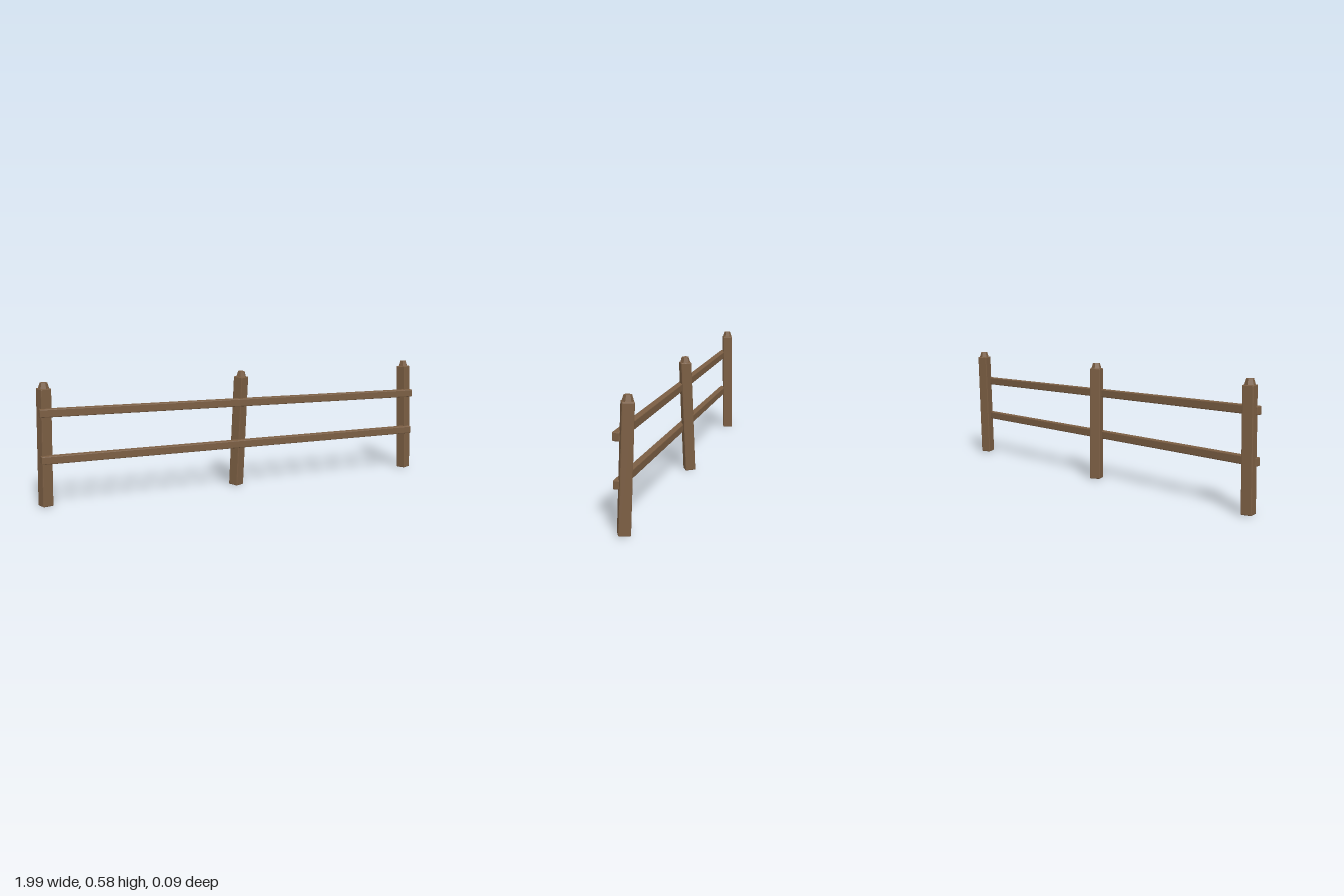
import * as THREE from 'three';
import { RoundedBoxGeometry } from 'three/addons/geometries/RoundedBoxGeometry.js';

// Box with chamfered edges and flat faces
function chamferedBox(w, h, d, bevel) {
  const geometry = new RoundedBoxGeometry(w, h, d, 1, bevel);
  geometry.computeVertexNormals();
  return geometry;
}

function addMesh(parent, geometry, material, name) {
  const mesh = new THREE.Mesh(geometry, material);
  mesh.name = name;
  parent.add(mesh);
  return mesh;
}

export function createModel() {
  const model = new THREE.Group();
  model.name = 'fence';

  const wood = new THREE.MeshStandardMaterial({ color: 0x7b5e43 });
  wood.name = 'brown wood';

  // Posts: each leans from its bottom centre to its top centre and is twisted about its length
  const postHeight = 0.548;
  const postGeometry = chamferedBox(0.052, postHeight, 0.052, 0.004);
  const capGeometry = new THREE.CylinderGeometry(0.017, 0.026, 0.03, 6).toNonIndexed();
  capGeometry.computeVertexNormals();

  const posts = [
    { name: 'rightPost', bottom: [-0.967, 0], top: [-0.955, 0.004], twist: 0.3 },
    { name: 'middlePost', bottom: [-0.012, -0.009], top: [0.008, 0.008], twist: 0.5 },
    { name: 'leftPost', bottom: [0.963, 0.01], top: [0.953, -0.011], twist: 0.44 },
  ];
  for (const { name, bottom, top, twist } of posts) {
    const foot = new THREE.Vector3(bottom[0], 0.003, bottom[1]);
    const axis = new THREE.Vector3(top[0], 0.003 + postHeight, top[1]).sub(foot).normalize();
    const up = new THREE.Vector3(0, 1, 0);

    const post = new THREE.Group();
    post.name = name;
    post.position.copy(foot);
    post.quaternion.setFromUnitVectors(up, axis)
      .multiply(new THREE.Quaternion().setFromAxisAngle(up, twist));
    addMesh(post, postGeometry, wood, 'postShaft').position.y = postHeight / 2;
    addMesh(post, capGeometry, wood, 'postCap').position.y = postHeight + 0.011;
    model.add(post);
  }

  // Rails: two slightly sloping bars across the front of the posts
  const railGeometry = chamferedBox(1.965, 0.038, 0.032, 0.004);
  const rails = [
    { name: 'upperRail', from: 0.443, to: 0.41 },
    { name: 'lowerRail', from: 0.226, to: 0.213 },
  ];
  for (const { name, from, to } of rails) {
    const rail = addMesh(model, railGeometry, wood, name);
    rail.position.set(-0.003, (from + to) / 2, 0.032);
    rail.rotation.z = Math.atan2(to - from, 1.965);
  }

  return model;
}
